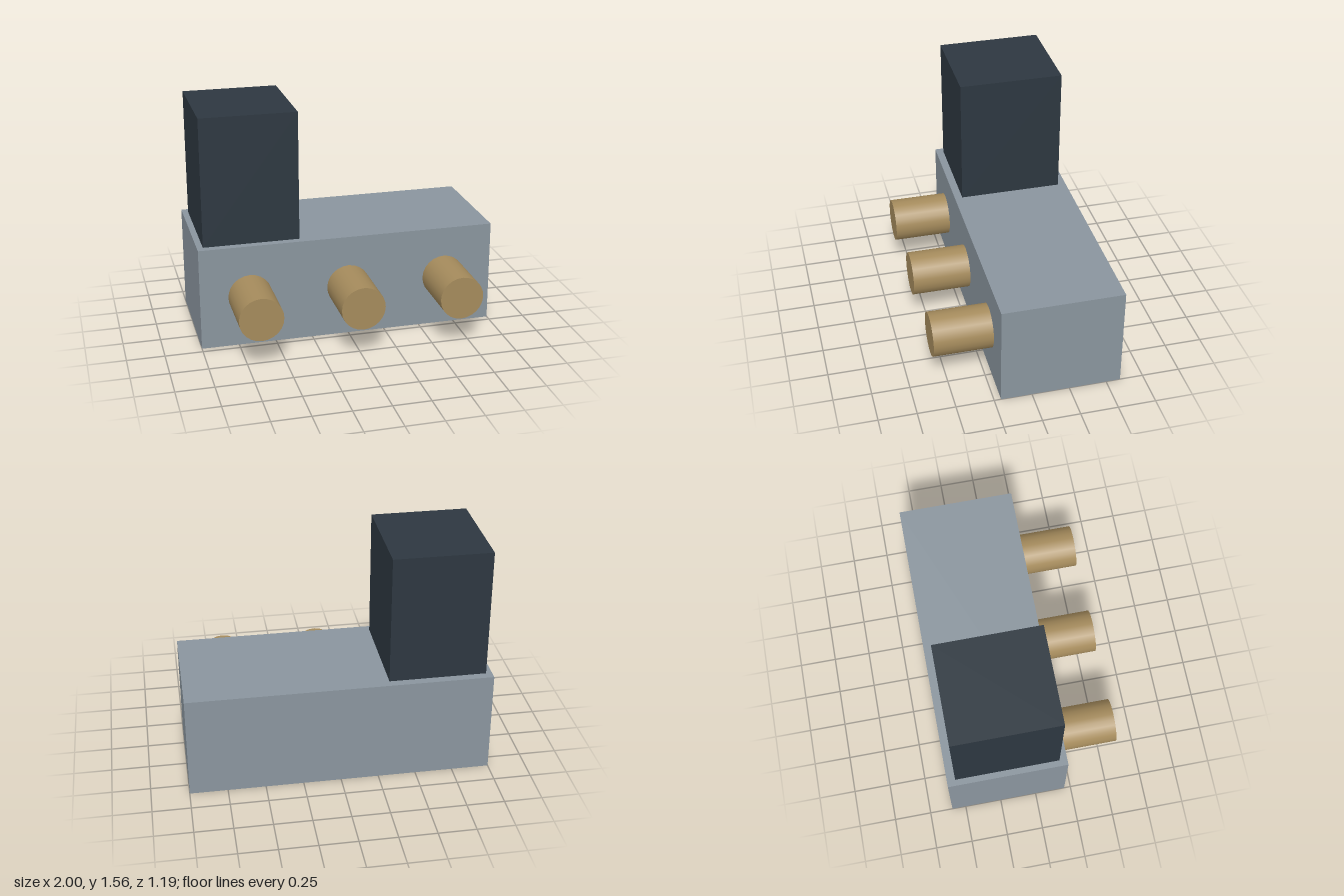
import * as THREE from 'three';

const paint = (color) => new THREE.MeshStandardMaterial({ color });

// Box given by its min and max corners
function block(name, min, max, material) {
  const size = max.map((v, i) => v - min[i]);
  const mesh = new THREE.Mesh(new THREE.BoxGeometry(...size), material);
  mesh.position.set(...max.map((v, i) => (v + min[i]) / 2));
  mesh.name = name;
  return mesh;
}

export function createModel() {
  const model = new THREE.Group();
  model.name = 'manifold';

  // Main body and the tall housing standing on its right end
  const bodyTop = 0.695, bodyFront = 0.205, frontEnd = 0.595;
  model.add(block('body', [-1, 0, -0.595], [1, bodyTop, bodyFront], paint(0x8a959e)));
  model.add(block('housing', [-0.96, bodyTop, -0.54], [-0.32, 1.56, 0.153], paint(0x2d3740)));

  // Three round ports along the front
  const length = frontEnd - bodyFront;
  const portGeometry = new THREE.CylinderGeometry(0.146, 0.146, length, 24).rotateX(Math.PI / 2);
  const brass = paint(0xa58b5c);
  ['rightPort', 'middlePort', 'leftPort'].forEach((name, i) => {
    const port = new THREE.Mesh(portGeometry, brass);
    port.name = name;
    port.position.set((i - 1) * 0.667, bodyTop / 2, bodyFront + length / 2);
    model.add(port);
  });

  return model;
}
